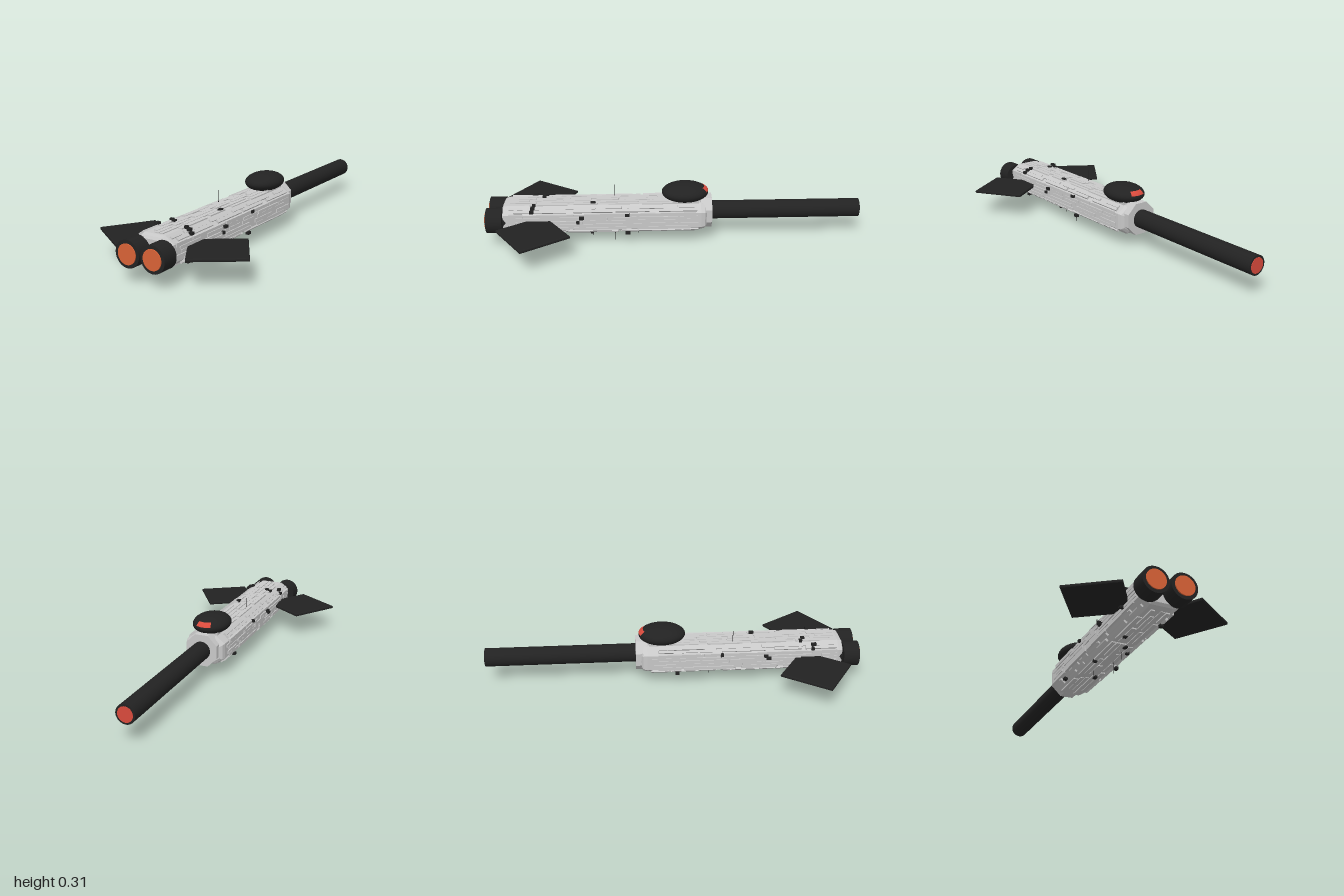
import * as THREE from 'three';

const material = (name, color) => {
  const m = new THREE.MeshStandardMaterial({ color });
  m.name = name;
  return m;
};

export function createModel() {
  const grey = material('hullGrey', 0xc8c8c8);
  const black = material('black', 0x222222);
  const orange = material('engineOrange', 0xd96236);
  const red = material('red', 0xd84a3c);
  const model = new THREE.Group();
  const CY = 0.14; // height of the hull axis

  const add = (name, geometry, mat, x = 0, y = 0, z = 0) => {
    const mesh = new THREE.Mesh(geometry, mat);
    mesh.name = name;
    mesh.position.set(x, y, z);
    model.add(mesh);
    return mesh;
  };
  const rod = (r, length, sides = 32) => new THREE.CylinderGeometry(r, r, length, sides).rotateX(Math.PI / 2);

  // Hull: chamfered rectangle with bevelled ends
  const w = 0.088, h = 0.058, cx = 0.036, cy = 0.026;
  const section = new THREE.Shape([
    [w, -h + cy], [w, h - cy], [w - cx, h], [-w + cx, h],
    [-w, h - cy], [-w, -h + cy], [-w + cx, -h], [w - cx, -h],
  ].map(([x, y]) => new THREE.Vector2(x, y)));
  add('hull', new THREE.ExtrudeGeometry(section, {
    depth: 1.02, bevelThickness: 0.03, bevelSize: 0.019, bevelSegments: 2,
  }), grey, 0, CY, -0.14);

  // Collar and barrel
  const collar = new THREE.CylinderGeometry(0.092, 0.092, 0.06, 8).rotateY(Math.PI / 8).rotateX(Math.PI / 2).toNonIndexed();
  collar.computeVertexNormals();
  add('collar', collar, grey, 0, 0.15, -0.17);
  add('barrel', rod(0.049, 0.82), black, 0, 0.15, -0.588);
  add('muzzle', rod(0.039, 0.006), red, 0, 0.15, -0.997);

  // Twin engines
  for (const s of [-1, 1]) {
    add('engine', rod(0.067, 0.085), black, s * 0.071, CY, 0.948);
    add('engineGlow', rod(0.05, 0.008), orange, s * 0.071, CY, 0.992);
    add('engineMount', rod(0.045, 0.04, 16), black, s * 0.06, CY, 0.9);
  }

  // Swept square fins with rounded edges
  const finShape = new THREE.Shape([
    [0.275, -0.545], [0.425, -0.77], [0.2, -0.92], [0.05, -0.695],
  ].map(([x, y]) => new THREE.Vector2(x, y)).reverse());
  const fin = new THREE.ExtrudeGeometry(finShape, {
    depth: 0.006, bevelThickness: 0.005, bevelSize: 0.005, bevelSegments: 2,
  }).rotateX(-Math.PI / 2).translate(0, -0.003, 0);
  add('leftFin', fin, black, 0, CY, 0);
  add('rightFin', fin.clone().rotateZ(Math.PI), black, 0, CY, 0);

  // Cockpit dome with a red eye plate that follows its nose
  const dome = new THREE.SphereGeometry(1, 40, 24);
  add('cockpit', dome, black, 0, 0.26, -0.058).scale.set(0.098, 0.05, 0.124);
  const eye = new THREE.SphereGeometry(1.02, 16, 8, Math.PI / 2 - 0.42, 0.84, 0.92, 0.45).rotateY(Math.PI);
  add('cockpitEye', eye, red, 0, 0.26, -0.058).scale.set(0.098, 0.05, 0.124);
  add('cockpitMount', new THREE.BoxGeometry(0.12, 0.04, 0.14), grey, 0, 0.222, -0.06);

  // Raised plating: lengthwise strips on all eight hull faces
  let seed = 7;
  const rand = () => (seed = (seed * 16807) % 2147483647) / 2147483647;
  const W = 0.107, H = 0.077, DX = 0.03, DY = 0.024;
  const cornerTilt = Math.atan2(DX, DY);
  const faces = [
    [0, H, 0, 0.125], [0, -H, Math.PI, 0.125],
    [W, 0, -Math.PI / 2, 0.095], [-W, 0, Math.PI / 2, 0.095],
  ];
  for (const sx of [-1, 1]) for (const sy of [-1, 1]) {
    const tilt = sy > 0 ? -sx * (Math.PI / 2 - cornerTilt) : sx * (Math.PI / 2 - cornerTilt) + Math.PI;
    faces.push([sx * (W - DX / 2 - 0.004), sy * (H - DY / 2 - 0.003), tilt, 0.036]);
  }
  faces.forEach(([x, y, angle, width], i) => {
    const side = new THREE.Group();
    side.name = 'plating';
    side.position.set(x, CY + y, 0);
    side.rotation.z = angle;
    const rows = i < 4 ? 5 : 2;
    const pitch = width / rows;
    for (let row = 0; row < rows; row++) {
      let z = -0.13 + rand() * 0.06;
      while (z < 0.8) {
        const length = Math.min(0.08 + rand() * 0.2, 0.87 - z);
        const height = 0.006 + rand() * 0.008;
        const plate = new THREE.Mesh(new THREE.BoxGeometry(pitch * (0.7 + rand() * 0.28), height, length), grey);
        plate.name = 'hullPlate';
        plate.position.set((row - (rows - 1) / 2) * pitch, 0, z + length / 2);
        side.add(plate);
        z += length + 0.01 + rand() * 0.05;
      }
    }
    model.add(side);
  });

  // Small black fittings on the top, flanks and underside: x, y, z
  [
    [-0.06, 0.222, 0.68], [-0.035, 0.222, 0.695], [0.045, 0.222, 0.43], [0.07, 0.222, 0.74],
    [0.09, 0.215, 0.745], [-0.095, 0.215, 0.745], [-0.105, 0.195, 0.74], [0.105, 0.2, 0.75],
    [-0.113, 0.135, 0.73], [-0.113, 0.12, 0.745], [-0.113, 0.165, 0.49], [-0.113, 0.15, 0.505],
    [-0.113, 0.178, 0.255], [0.113, 0.18, 0.25], [0.113, 0.165, 0.49], [0.113, 0.14, 0.51],
    [-0.095, 0.068, 0.02], [0.09, 0.063, 0.25], [0.06, 0.058, 0.44], [-0.03, 0.058, 0.6],
    [0.02, 0.058, 0.5], [-0.05, 0.058, 0.3], [0.08, 0.062, 0.75], [0.03, 0.058, 0.12],
  ].forEach(([x, y, z], i) => {
    add('fitting', new THREE.BoxGeometry(0.018, 0.014, 0.016 + (i % 3) * 0.005), black, x, y, z);
  });

  // Thin antennas: x, z, bottom, top
  [
    [-0.045, 0.318, 0.2, 0.285], [0.045, 0.318, 0, 0.08],
    [0.027, 0.44, 0.02, 0.08], [-0.01, 0.195, 0.012, 0.08],
  ].forEach(([x, z, low, high]) => {
    add('antenna', new THREE.CylinderGeometry(0.0014, 0.0014, high - low, 6), black, x, (low + high) / 2, z);
  });

  return model;
}
